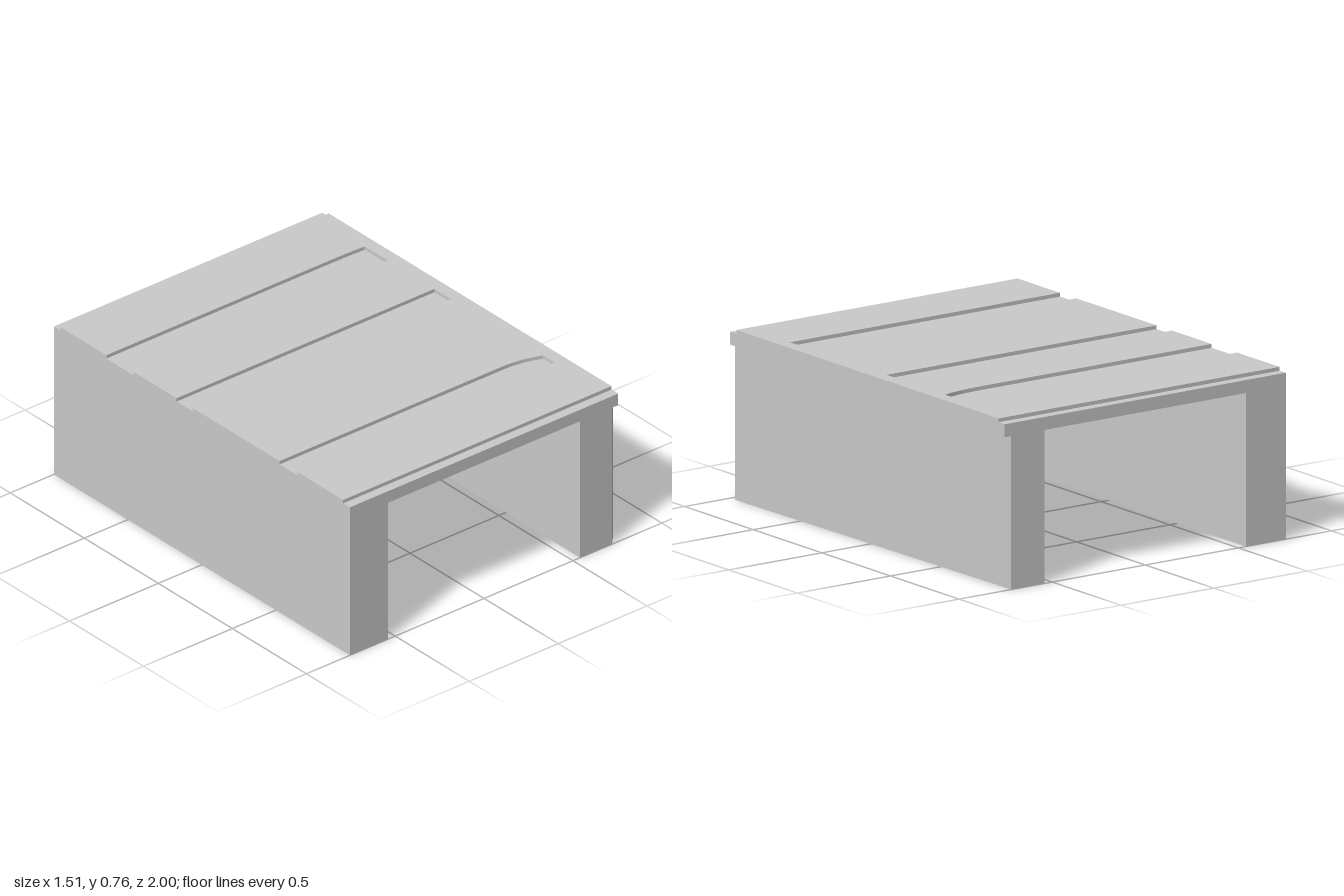
import * as THREE from 'three';

const W = 0.755, L = 1, LEG = 0.54, SOFFIT = 0.685, DECK = 0.743, TOP = 0.76;

export function createModel() {
  const model = new THREE.Group();
  const material = new THREE.MeshStandardMaterial({ color: 0xcccccc, flatShading: true });

  const add = (name, geometry) => {
    const mesh = new THREE.Mesh(geometry, material);
    mesh.name = name;
    model.add(mesh);
  };

  // Raises a plan outline, drawn as (x, -z), from one height to another
  const raise = (shape, y0, y1) =>
    new THREE.ExtrudeGeometry(shape, { depth: y1 - y0, bevelEnabled: false, curveSegments: 8 })
      .rotateX(-Math.PI / 2).translate(0, y0, 0);
  const outline = (points) => new THREE.Shape(points.map(([x, z]) => new THREE.Vector2(x, -z)));

  // Deck slab and the straight leg wall share one L-shaped section
  const section = new THREE.Shape([
    [-W, 0], [-LEG, 0], [-LEG, SOFFIT], [W, SOFFIT], [W, DECK], [-W, DECK],
  ].map(([x, y]) => new THREE.Vector2(x, y)));
  add('deckAndRightWall', new THREE.ExtrudeGeometry(section, { depth: 2 * L, bevelEnabled: false })
    .translate(0, 0, -L));

  // Left leg wall: chamfered front corner, outer face drawing in toward the back
  add('leftWall', raise(outline([
    [LEG, L], [0.72, L], [W, 0.963], [0.72, -L], [LEG, -L],
  ]), 0, SOFFIT));

  // Raised top plate, cut by three grooves open at the right edge.
  // Each groove: back z, front z, and how far its back and front sides curve in at the closed end
  const grooves = [
    { back: -0.645, front: -0.46, backCurve: 0.005, frontCurve: 0.025 },
    { back: -0.17, front: -0.058, backCurve: 0, frontCurve: 0 },
    { back: 0.525, front: 0.645, backCurve: 0.04, frontCurve: 0 },
  ];
  const END = 0.695, BEND = 0.5, MID = 0.6, EDGE = 0.955;
  const plate = new THREE.Shape();
  plate.moveTo(-W, -EDGE);
  plate.lineTo(W, -EDGE);
  plate.lineTo(W, EDGE);
  plate.lineTo(-W, EDGE);
  for (const { back, front, backCurve, frontCurve } of grooves) {
    plate.lineTo(-W, -back);
    if (backCurve) {
      plate.lineTo(BEND, -back);
      plate.quadraticCurveTo(MID, -back, END, -(back + backCurve));
    } else plate.lineTo(END, -back);
    plate.lineTo(END, -(front - frontCurve));
    if (frontCurve) plate.quadraticCurveTo(MID, -front, BEND, -front);
    plate.lineTo(-W, -front);
  }
  plate.closePath();
  add('groovedTopPlate', raise(plate, DECK, TOP));

  return model;
}
